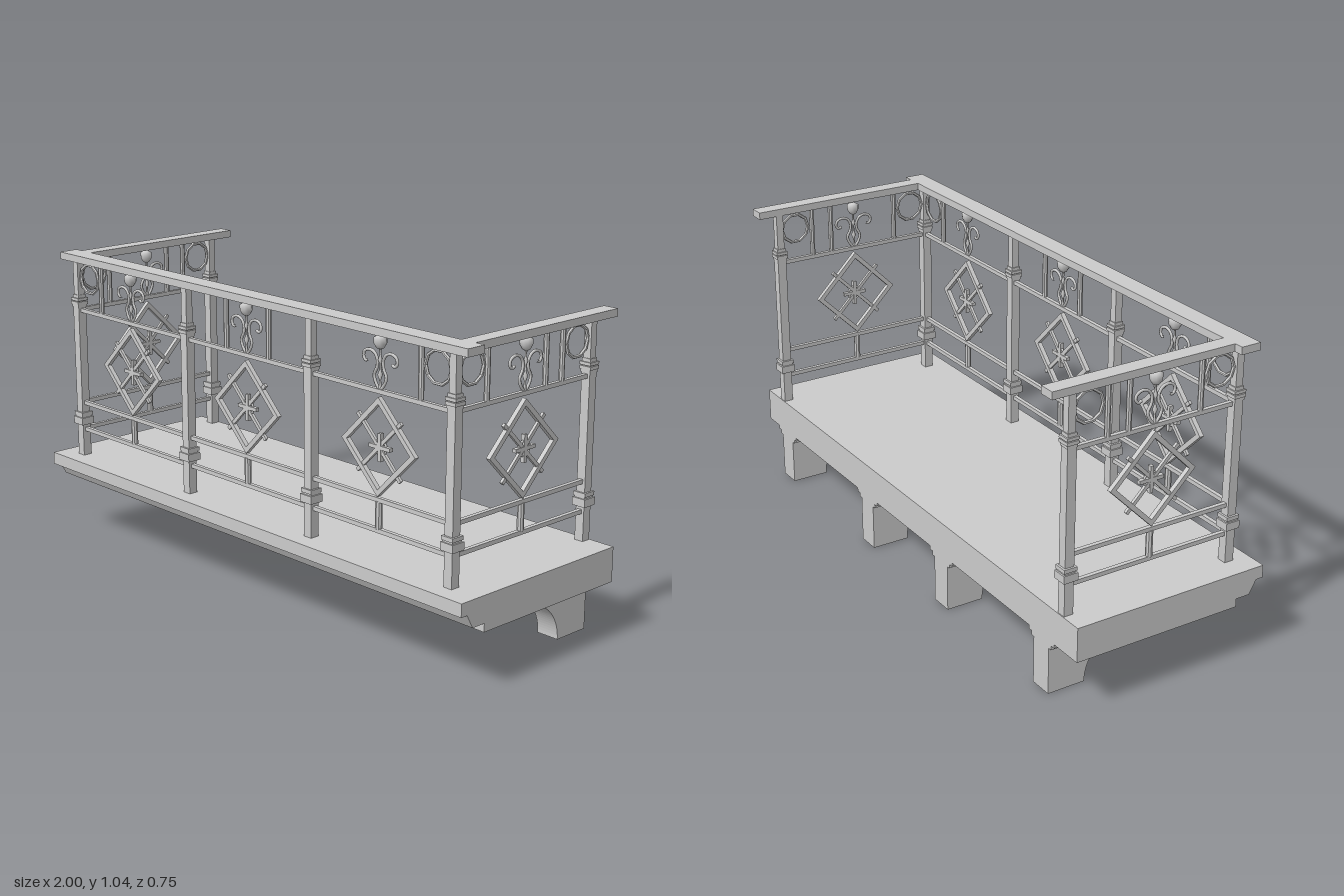
import * as THREE from 'three';

const grey = new THREE.MeshStandardMaterial({ color: 0xcccccc, flatShading: true });
const smooth = new THREE.MeshStandardMaterial({ color: 0xcccccc });

function add(parent, name, geometry, x = 0, y = 0, z = 0, material = grey) {
  const mesh = new THREE.Mesh(geometry, material);
  mesh.name = name;
  mesh.position.set(x, y, z);
  parent.add(mesh);
  return mesh;
}

// Box given by its width, bottom, top and depth
function block(parent, name, w, y0, y1, d, x = 0, z = 0) {
  return add(parent, name, new THREE.BoxGeometry(w, y1 - y0, d), x, (y0 + y1) / 2, z);
}

// Extrudes a (z, y) side profile across x, centred on x = 0
function sideExtrude(shape, width) {
  return new THREE.ExtrudeGeometry(shape, { depth: width, bevelEnabled: false, curveSegments: 12 })
    .translate(0, 0, -width / 2)
    .rotateY(-Math.PI / 2);
}

function createBracket(x) {
  const bracket = new THREE.Group();
  bracket.name = 'bracket';
  const s = new THREE.Shape();
  s.moveTo(-0.317, 0);
  s.lineTo(-0.185, 0);
  s.absarc(-0.04, 0.003, 0.145, Math.PI, Math.PI / 2, true);
  s.lineTo(-0.04, 0.16);
  s.lineTo(-0.317, 0.16);
  add(bracket, 'bracketBody', sideExtrude(s, 0.08));
  block(bracket, 'bracketLowerCap', 0.105, 0.16, 0.174, 0.29, 0, -0.172);
  block(bracket, 'bracketUpperCap', 0.135, 0.174, 0.187, 0.307, 0, -0.1635);
  bracket.position.x = x;
  return bracket;
}

function createPost(x, z) {
  const post = new THREE.Group();
  post.name = 'post';
  block(post, 'postShaft', 0.032, 0.3, 0.89, 0.032);
  block(post, 'postHead', 0.026, 0.89, 1.013, 0.026);
  // collars: width, bottom, top
  const collars = [
    [0.05, 0.418, 0.444], [0.04, 0.444, 0.45], [0.046, 0.45, 0.463],
    [0.036, 0.845, 0.855], [0.042, 0.855, 0.866], [0.042, 0.869, 0.879]
  ];
  for (const [w, y0, y1] of collars) block(post, 'postCollar', w, y0, y1, w);
  post.position.set(x, 0, z);
  return post;
}

function rod(parent, name, x, y0, y1, r) {
  add(parent, name, new THREE.CylinderGeometry(r, r, y1 - y0, 8), x, (y0 + y1) / 2, 0);
}

function createDiamond() {
  const diamond = new THREE.Group();
  diamond.name = 'diamond';
  const outline = (Type, r) =>
    new Type([[r, 0], [0, r], [-r, 0], [0, -r]].map(p => new THREE.Vector2(...p)));
  const shape = outline(THREE.Shape, 0.155);
  shape.holes.push(outline(THREE.Path, 0.133));
  const frame = new THREE.ExtrudeGeometry(shape, { depth: 0.016, bevelEnabled: false });
  add(diamond, 'diamondFrame', frame.translate(0, 0, -0.008));
  // crossing bars run past the frame
  for (const s of [-1, 1]) {
    add(diamond, 'diamondCrossBar', new THREE.BoxGeometry(0.256, 0.012, 0.01)).rotation.z = s * Math.PI / 4;
  }
  add(diamond, 'hubRing', new THREE.TorusGeometry(0.024, 0.004, 6, 16), 0.005, 0, 0, smooth);
  add(diamond, 'hubBar', new THREE.BoxGeometry(0.088, 0.012, 0.014), 0.005);
  add(diamond, 'hubBar', new THREE.BoxGeometry(0.012, 0.088, 0.014), 0.005);
  diamond.position.y = 0.663;
  return diamond;
}

function createFlower() {
  const flower = new THREE.Group();
  flower.name = 'flower';
  const lathe = pts => new THREE.LatheGeometry(pts.map(p => new THREE.Vector2(...p)), 10);
  add(flower, 'stem', lathe([
    [0.005, 0.84], [0.003, 0.87], [0.008, 0.885], [0.003, 0.9], [0.003, 0.92],
    [0.007, 0.93], [0.003, 0.945], [0.004, 0.968]
  ]), 0, 0, 0, smooth);
  add(flower, 'bud', lathe([
    [0, 0.96], [0.012, 0.966], [0.02, 0.98], [0.021, 0.998], [0.012, 1.003], [0, 1.009]
  ]), 0, 0, 0, smooth);
  // mirrored scrolls
  const path = [
    [0.006, 0.842], [0.02, 0.862], [0.025, 0.882], [0.014, 0.905], [0.012, 0.928],
    [0.024, 0.948], [0.046, 0.955], [0.066, 0.946], [0.07, 0.93], [0.061, 0.919], [0.049, 0.923]
  ];
  for (const s of [-1, 1]) {
    const curve = new THREE.CatmullRomCurve3(path.map(([x, y]) => new THREE.Vector3(s * x, y, 0)));
    add(flower, 'scroll', new THREE.TubeGeometry(curve, 40, 0.005, 6), 0, 0, 0, smooth);
  }
  return flower;
}

// One railing bay along x; rods and rings are x offsets in the upper band
function createPanel(rods, rings) {
  const panel = new THREE.Group();
  panel.name = 'railingPanel';
  for (const y of [0.4, 0.498, 0.835]) block(panel, 'crossRail', 0.575, y - 0.007, y + 0.007, 0.014);
  rod(panel, 'shortBaluster', 0, 0.405, 0.493, 0.011);
  panel.add(createDiamond(), createFlower());
  for (const x of rods) rod(panel, 'upperBaluster', x, 0.84, 1.014, 0.009);
  for (const x of rings) {
    add(panel, 'ring', new THREE.TorusGeometry(0.051, 0.006, 6, 10), x, 0.952, 0);
  }
  return panel;
}

export function createModel() {
  const model = new THREE.Group();
  model.name = 'balcony';

  // floor slab with a moulded front edge
  const slab = new THREE.Shape([
    [-0.317, 0.187], [0.275, 0.187], [0.275, 0.215], [0.325, 0.215],
    [0.35, 0.26], [0.375, 0.26], [0.375, 0.303], [-0.317, 0.303]
  ].map(p => new THREE.Vector2(...p)));
  add(model, 'floorSlab', sideExtrude(slab, 2));

  for (const x of [-0.815, -0.235, 0.255, 0.86]) model.add(createBracket(x));

  // posts
  const postX = [-0.91, -0.31, 0.29, 0.89];
  for (const x of postX) model.add(createPost(x, 0.3));
  for (const x of [postX[0], postX[3]]) model.add(createPost(x, -0.298));

  // front bays
  const front = [[[-0.167], [-0.234]], [[-0.098, 0.106], []], [[0.167], [0.234]]];
  front.forEach(([rods, rings], i) => {
    const panel = createPanel(rods, rings);
    panel.position.set(-0.611 + i * 0.6, 0, 0.3);
    model.add(panel);
  });

  // side bays
  for (const x of [postX[0], postX[3]]) {
    const panel = createPanel([-0.167, 0.092, 0.167], [-0.234, 0.234]);
    panel.rotation.y = Math.PI / 2;
    panel.position.x = x;
    model.add(panel);
  }

  // handrail
  block(model, 'frontHandrail', 1.93, 1.012, 1.037, 0.07, 0, 0.3);
  for (const x of [-0.907, 0.903]) block(model, 'sideHandrail', 0.054, 1.012, 1.037, 0.64, x, -0.055);

  return model;
}
